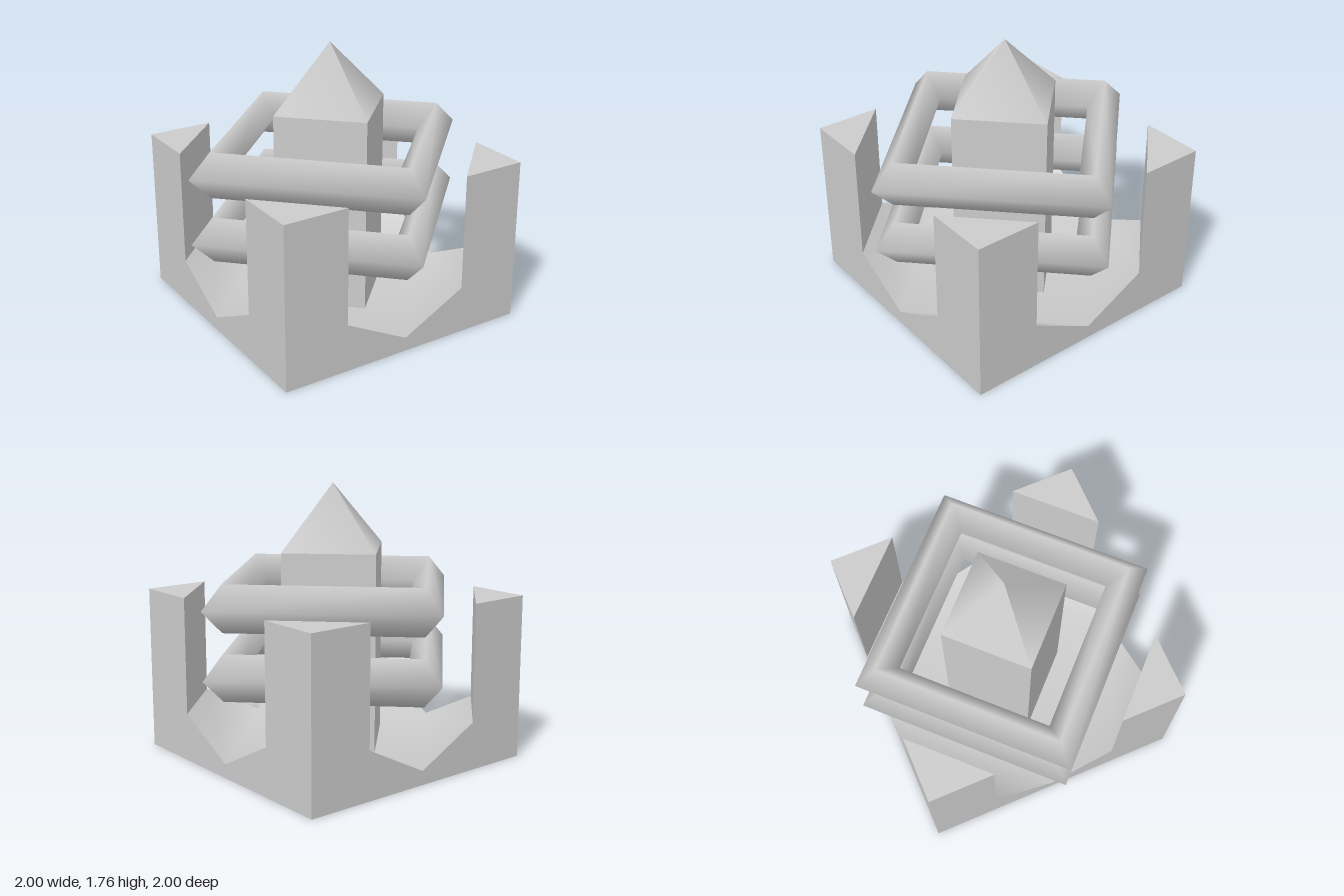
import * as THREE from 'three';
import { mergeGeometries, mergeVertices } from 'three/addons/utils/BufferGeometryUtils.js';

const HALF = 0.85;      // half width of the square base
const CUT = 0.425;      // where the diamond recess meets the base sides
const TOP = 1.06;       // top of the corner posts
const LEDGE = 0.31;     // top of the sloped floor
const FLOOR = 0.09;     // flat recess floor

const material = new THREE.MeshStandardMaterial({ color: 0xcccccc });

function addMesh(parent, name, geometry) {
  const mesh = new THREE.Mesh(geometry, material);
  mesh.name = name;
  parent.add(mesh);
  return mesh;
}

// Fan of triangles from a convex loop of corners
function polygon(...corners) {
  const positions = [];
  for (let i = 1; i < corners.length - 1; i++) {
    positions.push(...corners[0], ...corners[i], ...corners[i + 1]);
  }
  const geometry = new THREE.BufferGeometry();
  geometry.setAttribute('position', new THREE.Float32BufferAttribute(positions, 3));
  return geometry;
}

// Repeats a geometry at the four quarter turns
function fourTimes(geometry) {
  return mergeGeometries([0, 1, 2, 3].map((i) => geometry.clone().rotateY(i * Math.PI / 2)));
}

function createBase() {
  const base = new THREE.Group();
  base.name = 'base';

  // Outer sides with a V-bottomed notch
  const side = new THREE.Shape([
    [-HALF, 0], [HALF, 0], [HALF, TOP], [CUT, TOP], [CUT, LEDGE],
    [0, FLOOR], [-CUT, LEDGE], [-CUT, TOP], [-HALF, TOP],
  ].map(([x, y]) => new THREE.Vector2(x, y)));
  addMesh(base, 'baseSides', fourTimes(new THREE.ShapeGeometry(side).translate(0, 0, HALF)));

  // Underside
  addMesh(base, 'baseUnderside', new THREE.PlaneGeometry(2 * HALF, 2 * HALF).rotateX(Math.PI / 2));

  // Post inner walls and triangular post tops
  const a = [HALF, LEDGE, CUT], b = [CUT, LEDGE, HALF];
  const c = [CUT, TOP, HALF], d = [HALF, TOP, CUT], corner = [HALF, TOP, HALF];
  const posts = fourTimes(mergeGeometries([polygon(a, b, c, d), polygon(d, c, corner)]));
  posts.computeVertexNormals();
  addMesh(base, 'cornerPosts', posts);

  // Recess floor: flat diamond with smooth slopes up to the posts
  const p = [HALF, FLOOR, 0], q = [0, FLOOR, HALF];
  const floor = mergeVertices(
    fourTimes(mergeGeometries([polygon(p, q, b, a), polygon([0, FLOOR, 0], q, p)])), 1e-3);
  floor.computeVertexNormals();
  addMesh(base, 'recessFloor', floor);
  return base;
}

export function createModel() {
  const model = new THREE.Group();
  model.name = 'squareRingTower';
  model.add(createBase());

  // Central four-sided column with a smooth-shaded pointed cap
  const radius = 0.413;
  const columnTop = 1.35;
  const height = columnTop - FLOOR;
  const column = new THREE.CylinderGeometry(radius, radius, height, 4, 1, true).toNonIndexed();
  column.computeVertexNormals();
  addMesh(model, 'column', column).position.y = FLOOR + height / 2;
  addMesh(model, 'columnCap', new THREE.ConeGeometry(radius, 0.41, 4, 1)).position.y = columnTop + 0.205;

  // Two diamond rings around the column
  [['upperRing', 1.06], ['lowerRing', 0.635]].forEach(([name, y]) => {
    const ring = new THREE.TorusGeometry(0.852, 0.148, 4, 4).rotateX(-Math.PI / 2);
    addMesh(model, name, ring).position.y = y;
  });

  return model;
}
